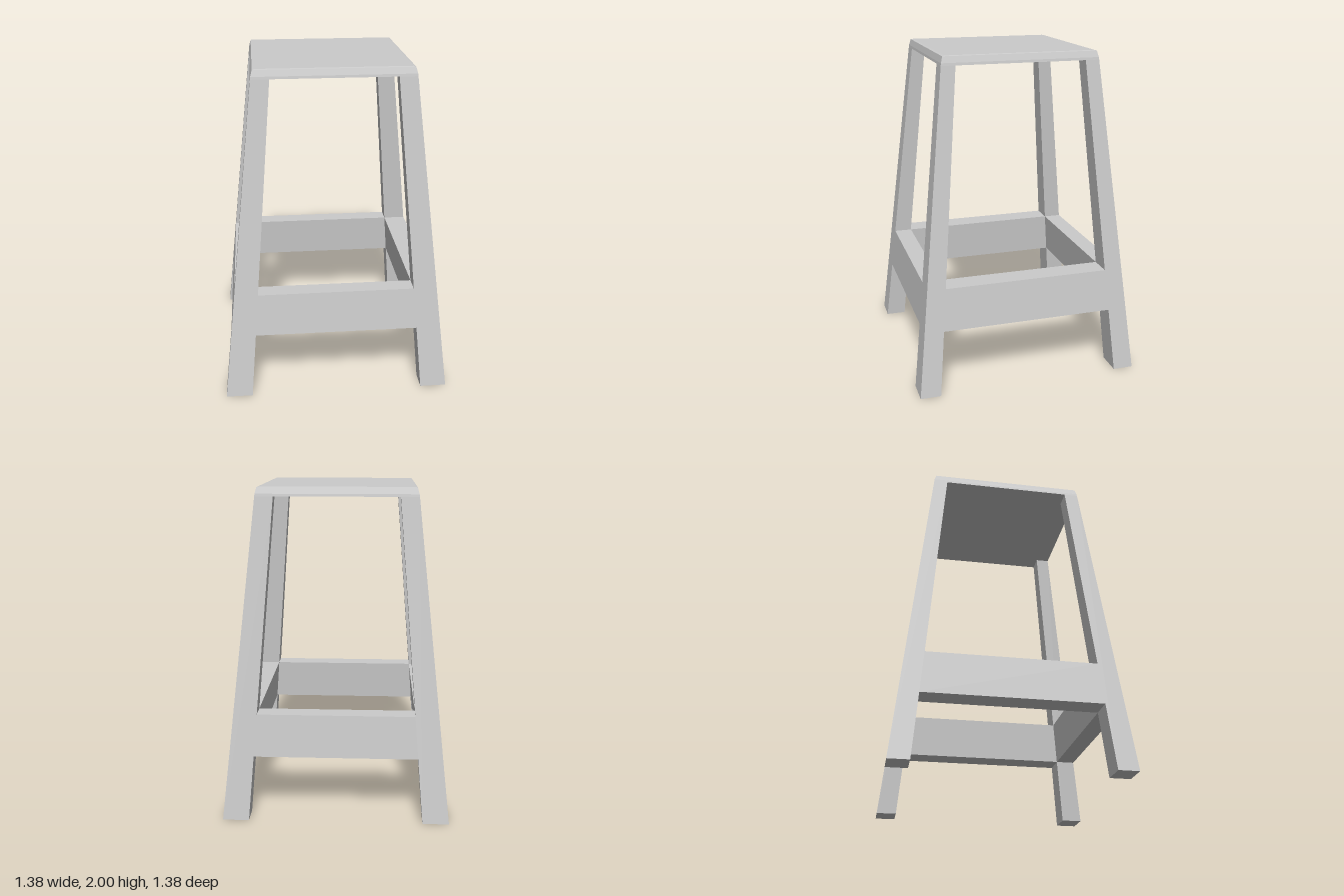
import * as THREE from 'three';

const SEAT_Y = 1.945;
// Leg faces taper inward with height
const outer = y => THREE.MathUtils.lerp(0.69, 0.478, y / SEAT_Y);
const innerX = y => THREE.MathUtils.lerp(0.53, 0.37, y / SEAT_Y);
const innerZ = y => THREE.MathUtils.lerp(0.565, 0.393, y / SEAT_Y);

// Box whose x and z extents follow rules of height: xs(y) and zs(y) give [min, max]
function taperedBlock(y0, y1, xs, zs) {
  const geo = new THREE.BoxGeometry(1, 1, 1);
  const p = geo.attributes.position;
  for (let i = 0; i < p.count; i++) {
    const y = p.getY(i) < 0 ? y0 : y1;
    p.setXYZ(i, xs(y)[p.getX(i) < 0 ? 0 : 1], y, zs(y)[p.getZ(i) < 0 ? 0 : 1]);
  }
  geo.computeVertexNormals();
  return geo;
}

// Extent between two positive distances, placed on the + or - side
const side = (s, a, b) => (s > 0 ? [a, b] : [-b, -a]);
const span = h => [-h, h];

export function createModel() {
  const stool = new THREE.Group();
  stool.name = 'stool';
  const material = new THREE.MeshStandardMaterial({ color: 0xcccccc, flatShading: true });
  const add = (name, geo) => {
    const mesh = new THREE.Mesh(geo, material);
    mesh.name = name;
    stool.add(mesh);
  };

  // Four splayed legs
  for (const sx of [-1, 1]) {
    for (const sz of [-1, 1]) {
      const name = (sz > 0 ? 'front' : 'back') + (sx > 0 ? 'Left' : 'Right') + 'Leg';
      add(name, taperedBlock(0, SEAT_Y,
        y => side(sx, innerX(y), outer(y)),
        y => side(sz, innerZ(y), outer(y))));
    }
  }

  // Four rails, flush with the legs inside and out
  for (const s of [-1, 1]) {
    add(s > 0 ? 'frontRail' : 'backRail', taperedBlock(0.4, 0.66,
      y => span(innerX(y)), y => side(s, innerZ(y), outer(y))));
    add(s > 0 ? 'leftRail' : 'rightRail', taperedBlock(0.4, 0.66,
      y => side(s, innerX(y), outer(y)), y => span(innerZ(y))));
  }

  // Seat slab with bevelled rim: a four-sided lathe of half-widths, turned square
  const profile = [[0, SEAT_Y], [0.478, SEAT_Y], [0.476, 1.96], [0.466, 1.997], [0.453, 2], [0, 2]]
    .map(([h, y]) => new THREE.Vector2(h * Math.SQRT2, y));
  const seat = new THREE.LatheGeometry(profile, 4).rotateY(Math.PI / 4).toNonIndexed();
  seat.computeVertexNormals();
  add('seat', seat);

  return stool;
}
